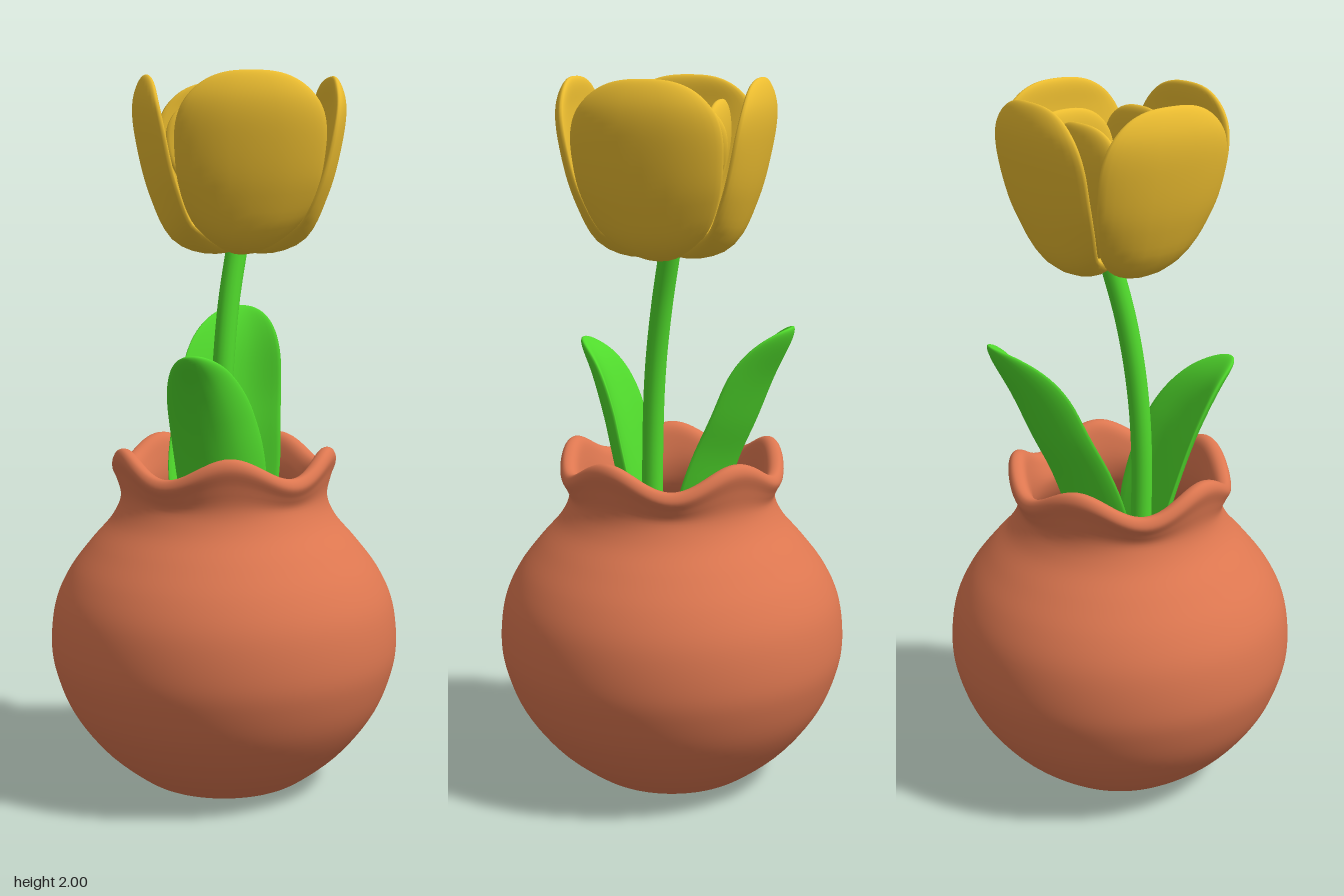
import * as THREE from 'three';
import { mergeVertices } from 'three/addons/utils/BufferGeometryUtils.js';

const clay = new THREE.MeshStandardMaterial({ color: 0xdd7750 });
const green = new THREE.MeshStandardMaterial({ color: 0x50da2c });
const yellow = new THREE.MeshStandardMaterial({ color: 0xecbd30 });

const vectors = (points) => points.map((p) => new THREE.Vector3(...p));

function addMesh(parent, name, geometry, material) {
  const mesh = new THREE.Mesh(geometry, material);
  mesh.name = name;
  parent.add(mesh);
  return mesh;
}

// Thick rounded blade swept along a spine of [x, y, z] points.
// widths: half widths spread evenly along it; cup: how far the edges bend to -z;
// capStart / power: where the tip begins to round off, and how squarely.
function bladeGeometry({ spine, widths, thickness, cup, capStart, power }) {
  const rows = 40, sides = 28;
  const curve = new THREE.CatmullRomCurve3(vectors(spine));
  const widthCurve = new THREE.CatmullRomCurve3(vectors(widths.map((w, i) => [i, w, 0])));
  const across = new THREE.Vector3(1, 0, 0);
  const positions = [], index = [];
  for (let i = 0; i <= rows; i++) {
    const u = 1 - (1 - i / rows) ** 2;
    const p = curve.getPointAt(u);
    const normal = across.clone().cross(curve.getTangentAt(u)).normalize();
    const k = Math.max(0, (u - capStart) / (1 - capStart));
    const cap = Math.max(0, 1 - k ** power) ** (1 / power);
    const fullWidth = widthCurve.getPoint(u).y;
    const t = thickness * Math.max(0, 1 - k ** 4) ** 0.5;
    for (let j = 0; j < sides; j++) {
      const a = (j / sides) * Math.PI * 2;
      const c = Math.sign(Math.cos(a)) * Math.abs(Math.cos(a)) ** 0.8;
      const bend = cup * (c * cap) ** 2 * Math.min(1, fullWidth / 0.12);
      const v = p.clone()
        .addScaledVector(across, c * cap * fullWidth)
        .addScaledVector(normal, t * Math.sin(a) - bend);
      positions.push(v.x, v.y, v.z);
      if (i < rows) {
        const a0 = i * sides + j, a1 = i * sides + (j + 1) % sides;
        index.push(a0, a0 + sides, a1, a1, a0 + sides, a1 + sides);
      }
    }
  }
  // close the base
  for (let j = 1; j < sides - 1; j++) index.push(0, j, j + 1);
  const geometry = new THREE.BufferGeometry();
  geometry.setAttribute('position', new THREE.Float32BufferAttribute(positions, 3));
  geometry.setIndex(index);
  geometry.computeVertexNormals();
  return geometry;
}

// Round pot whose lip rises and falls in five waves
function potGeometry() {
  const profile = new THREE.SplineCurve([
    [0.19, 0], [0.245, 0.025], [0.35, 0.11], [0.435, 0.22], [0.48, 0.33], [0.493, 0.42],
    [0.48, 0.53], [0.44, 0.62], [0.38, 0.7], [0.32, 0.77], [0.293, 0.83], [0.303, 0.88],
    [0.317, 0.92], [0.305, 0.945], [0.28, 0.942], [0.262, 0.91], [0.25, 0.84], [0.28, 0.76],
    [0.38, 0.64], [0.44, 0.42], [0.36, 0.18], [0.2, 0.06],
  ].map(([r, y]) => new THREE.Vector2(r, y)));
  const points = [new THREE.Vector2(0, 0), new THREE.Vector2(0.17, 0),
    ...profile.getPoints(110), new THREE.Vector2(0, 0.05)];
  let geometry = new THREE.LatheGeometry(points, 120);
  const pos = geometry.attributes.position;
  for (let i = 0; i < pos.count; i++) {
    const x = pos.getX(i), y = pos.getY(i), z = pos.getZ(i);
    const rise = THREE.MathUtils.smoothstep(y, 0.8, 0.94);
    pos.setY(i, Math.max(0, y + 0.032 * rise * Math.cos(5 * Math.atan2(x, z))));
  }
  geometry.deleteAttribute('uv');
  geometry.deleteAttribute('normal');
  geometry = mergeVertices(geometry, 1e-5);
  geometry.computeVertexNormals();
  return geometry;
}

export function createModel() {
  const model = new THREE.Group();
  model.name = 'pottedTulip';

  addMesh(model, 'pot', potGeometry(), clay);

  // Curved stem
  const stemPath = new THREE.CatmullRomCurve3(vectors([
    [0, 0.06, 0.04], [-0.01, 0.6, 0.06], [-0.015, 1.0, 0.062], [-0.005, 1.2, 0.05],
    [0.012, 1.38, 0.025], [0.04, 1.55, -0.01],
  ]));
  addMesh(model, 'stem', new THREE.TubeGeometry(stemPath, 48, 0.03, 16), green);

  // Leaves leaning out to the front and the back
  addMesh(model, 'frontLeaf', bladeGeometry({
    spine: [[0, 0.5, 0.07], [0, 0.75, 0.11], [-0.02, 0.95, 0.16], [-0.045, 1.07, 0.2],
      [-0.075, 1.18, 0.25], [-0.1, 1.255, 0.305]],
    widths: [0.04, 0.09, 0.12, 0.125, 0.11, 0.085],
    thickness: 0.02, cup: 0.05, capStart: 0.72, power: 2.2,
  }), green);
  addMesh(model, 'backLeaf', bladeGeometry({
    spine: [[0, 0.5, -0.06], [0, 0.75, -0.11], [0.01, 0.95, -0.175], [0.025, 1.07, -0.23],
      [0.045, 1.22, -0.295], [0.07, 1.345, -0.365]],
    widths: [0.05, 0.12, 0.16, 0.155, 0.14, 0.115],
    thickness: 0.02, cup: -0.07, capStart: 0.75, power: 2.2,
  }), green);

  // Flower: two rings of four cupped petals
  const flower = new THREE.Group();
  flower.name = 'flower';
  flower.position.set(0.04, 0, 0);
  const outer = bladeGeometry({
    spine: [[0, 1.545, 0.005], [0, 1.54, 0.09], [0, 1.57, 0.165], [0, 1.68, 0.22],
      [0, 1.82, 0.256], [0, 1.92, 0.268], [0, 2.0, 0.258]],
    widths: [0.015, 0.1, 0.155, 0.19, 0.203, 0.205, 0.2],
    thickness: 0.026, cup: 0.03, capStart: 0.66, power: 2.7,
  });
  const inner = bladeGeometry({
    spine: [[0, 1.555, 0.005], [0.005, 1.565, 0.05], [0.02, 1.62, 0.09], [0.035, 1.72, 0.118],
      [0.045, 1.83, 0.138], [0.05, 1.94, 0.138]],
    widths: [0.015, 0.055, 0.1, 0.135, 0.143, 0.14],
    thickness: 0.024, cup: 0.02, capStart: 0.66, power: 2.7,
  });
  for (let i = 0; i < 4; i++) {
    const turn = i * Math.PI / 2;
    addMesh(flower, 'outerPetal', outer, yellow).rotation.y = turn + 0.08;
    addMesh(flower, 'innerPetal', inner, yellow).rotation.y = turn + 0.12;
  }
  model.add(flower);
  return model;
}
